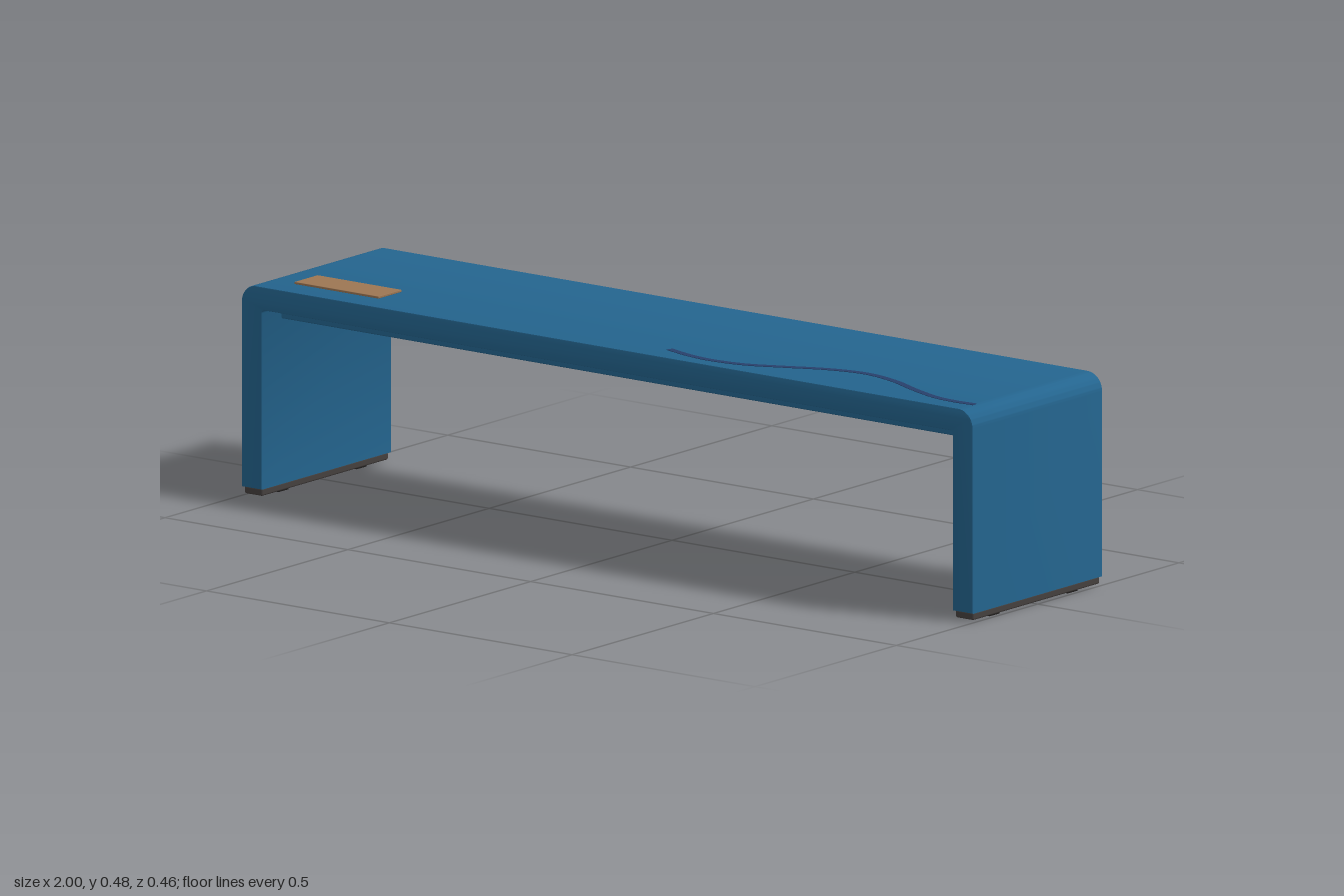
import * as THREE from 'three';
import { toCreasedNormals } from 'three/addons/utils/BufferGeometryUtils.js';
import { RoundedBoxGeometry } from 'three/addons/geometries/RoundedBoxGeometry.js';

const material = (name, color) => {
  const m = new THREE.MeshStandardMaterial({ color });
  m.name = name;
  return m;
};

export function createModel() {
  const blue = material('blue paint', 0x24658f);
  const navy = material('navy inlay', 0x27406b);
  const tan = material('tan plate', 0x9c7653);
  const charcoal = material('charcoal rubber', 0x45403e);
  const black = material('black pad', 0x1e1c1b);

  const model = new THREE.Group();
  model.name = 'bench';
  const add = (name, geometry, mat, x = 0, y = 0, z = 0) => {
    const mesh = new THREE.Mesh(geometry, mat);
    mesh.name = name;
    mesh.position.set(x, y, z);
    model.add(mesh);
    return mesh;
  };

  // Bent body: seat and both side legs as one U-shaped sheet
  const top = 0.471, foot = 0.02, inner = 0.945, under = 0.419;
  const R = 0.04, r = 0.008, bevel = 0.003;
  const s = new THREE.Shape();
  s.moveTo(-1, foot);
  s.lineTo(-1, top - R);
  s.absarc(-1 + R, top - R, R, Math.PI, Math.PI / 2, true);
  s.lineTo(1 - R, top);
  s.absarc(1 - R, top - R, R, Math.PI / 2, 0, true);
  s.lineTo(1, foot);
  s.lineTo(inner, foot);
  s.lineTo(inner, under - r);
  s.absarc(inner - r, under - r, r, 0, Math.PI / 2, false);
  s.lineTo(-inner + r, under);
  s.absarc(-inner + r, under - r, r, Math.PI / 2, Math.PI, false);
  s.lineTo(-inner, foot);
  s.closePath();
  const depth = 0.46 - 2 * bevel;
  const body = new THREE.ExtrudeGeometry(s, {
    depth, curveSegments: 10, bevelEnabled: true, bevelSize: bevel,
    bevelThickness: bevel, bevelOffset: -bevel, bevelSegments: 2,
  });
  body.translate(0, 0, -depth / 2);
  add('benchBody', toCreasedNormals(body, 0.6), blue);

  // Stiffening rails under the seat
  for (const z of [-0.165, 0.165]) {
    add('underRail', new RoundedBoxGeometry(1.86, 0.027, 0.03, 2, 0.003), blue, 0, 0.4075, z);
  }

  // Foot strips with small pads
  for (const x of [-0.9725, 0.9725]) {
    add('footStrip', new RoundedBoxGeometry(0.049, 0.017, 0.447, 2, 0.004), charcoal, x, 0.0125, 0);
    for (const z of [-0.138, 0.138]) {
      add('footPad', new THREE.BoxGeometry(0.034, 0.006, 0.035), black, x, 0.003, z);
    }
  }

  // Thin plate on the seat
  add('seatPlate', new RoundedBoxGeometry(0.23, 0.005, 0.082, 2, 0.001), tan, -0.79, 0.4735, 0.124);

  // Wavy inlay: a flat ribbon following a curve
  const path = new THREE.SplineCurve([
    [0.12, 0.164], [0.19, 0.184], [0.26, 0.191], [0.34, 0.179], [0.42, 0.145], [0.51, 0.105],
    [0.6, 0.088], [0.69, 0.107], [0.77, 0.143], [0.85, 0.173], [0.91, 0.181], [0.965, 0.178],
  ].map(([x, z]) => new THREE.Vector2(x, -z)));
  const left = [], right = [], half = 0.008;
  for (let i = 0; i <= 60; i++) {
    const p = path.getPoint(i / 60), t = path.getTangent(i / 60);
    const n = new THREE.Vector2(-t.y, t.x).multiplyScalar(half);
    left.push(p.clone().add(n));
    right.unshift(p.clone().sub(n));
  }
  const ribbon = new THREE.ExtrudeGeometry(new THREE.Shape([...left, ...right]), { depth: 0.002, bevelEnabled: false });
  ribbon.rotateX(-Math.PI / 2);
  add('waveInlay', ribbon, navy, 0, top - 0.001, 0);

  return model;
}
